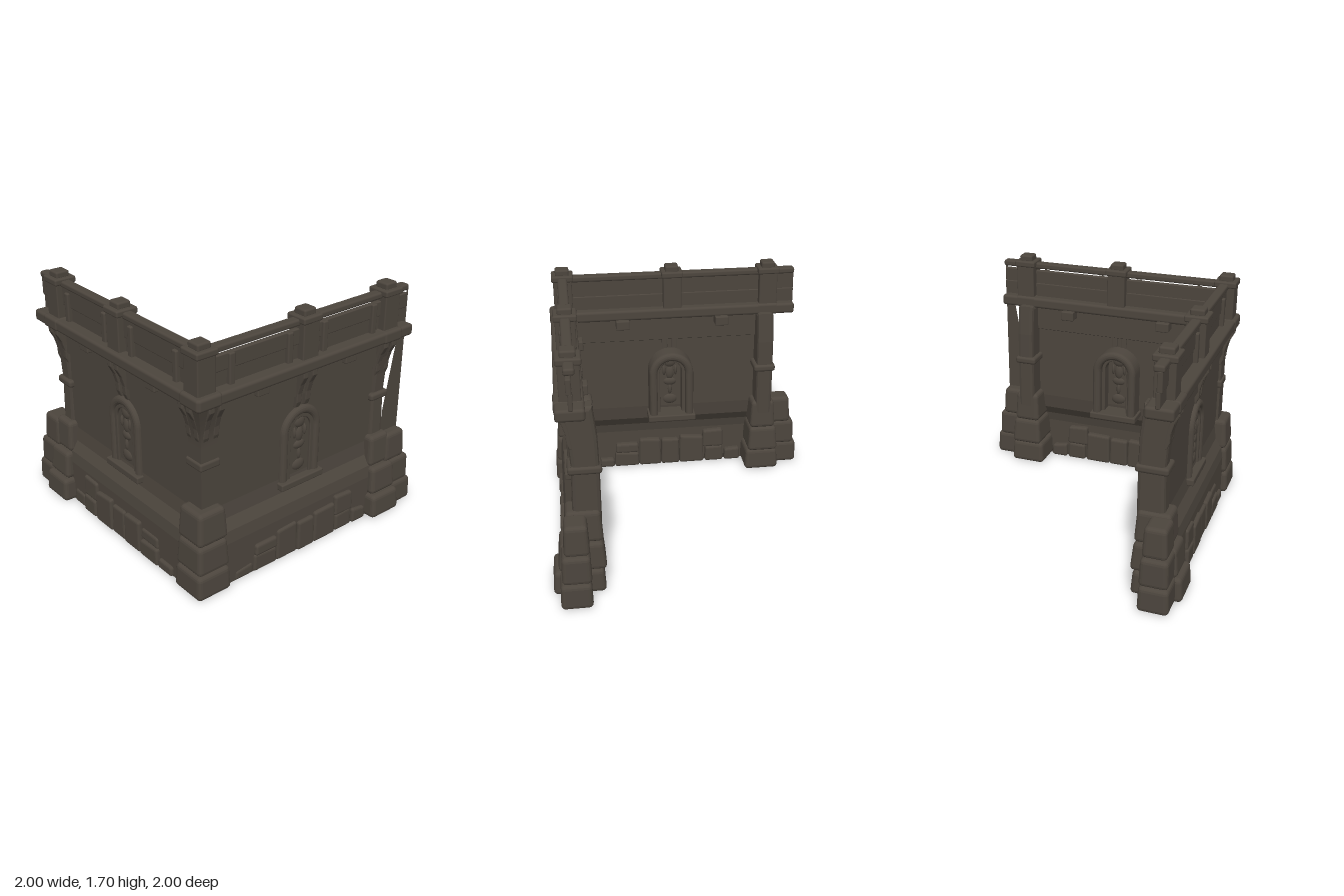
import * as THREE from 'three';
import { RoundedBoxGeometry } from 'three/addons/geometries/RoundedBoxGeometry.js';

// Each wall is laid out in (u along, y up, d outward); s flips u for the side wall.
export function createModel() {
  const model = new THREE.Group();
  model.name = 'cornerRampart';
  const stone = new THREE.MeshStandardMaterial({ color: 0x4c453d, side: THREE.DoubleSide });
  stone.name = 'dark stone';

  let seed = 7;
  const rand = () => ((seed = (seed * 16807) % 2147483647) / 2147483647) - 0.5;

  const add = (parent, name, geometry, x = 0, y = 0, z = 0) => {
    const mesh = new THREE.Mesh(geometry, stone);
    mesh.name = name;
    mesh.position.set(x, y, z);
    parent.add(mesh);
    return mesh;
  };

  // Move vertices by a rule
  const bend = (geometry, rule) => {
    const p = geometry.attributes.position;
    const v = new THREE.Vector3();
    for (let i = 0; i < p.count; i++) {
      rule(v.fromBufferAttribute(p, i));
      p.setXYZ(i, v.x, v.y, v.z);
    }
    geometry.computeVertexNormals();
    return geometry;
  };

  // Rounded block given by its ranges; taper narrows the top, skew tilts it
  const block = (parent, name, u0, u1, y0, y1, d0, d1, r = 0.012, taper = 0, skew = 0) => {
    const h = y1 - y0;
    const g = new RoundedBoxGeometry(u1 - u0, h, d1 - d0, 2, r);
    if (taper || skew) bend(g, (v) => {
      const t = v.y / h + 0.5;
      v.y += (v.x / (u1 - u0)) * skew * t;
      v.x *= 1 - taper * t;
      v.z *= 1 - taper * t;
    });
    return add(parent, name, g, (u0 + u1) / 2, (y0 + y1) / 2, (d0 + d1) / 2);
  };

  // Extrude a (d, y) profile along u, with edges rounded by r
  const alongU = (parent, name, points, u0, u1, r = 0) => {
    const shape = new THREE.Shape(points.map(([d, y]) => new THREE.Vector2(-d, y)));
    const g = new THREE.ExtrudeGeometry(shape, {
      depth: u1 - u0 - 2 * r, bevelEnabled: r > 0, bevelThickness: r, bevelSize: r, bevelOffset: -r, bevelSegments: 2,
    });
    g.rotateY(Math.PI / 2);
    return add(parent, name, g, u0 + r);
  };

  // Horseshoe band, open at the bottom, with rounded edges r
  const horseshoe = (outer, inner, y0, spring, depth, r) => {
    const s = new THREE.Shape();
    s.moveTo(outer, y0).lineTo(outer, spring);
    s.absarc(0, spring, outer, 0, Math.PI, false);
    s.lineTo(-outer, y0).lineTo(-inner, y0).lineTo(-inner, spring);
    s.absarc(0, spring, inner, Math.PI, 0, true);
    s.lineTo(inner, y0);
    return new THREE.ExtrudeGeometry(s, {
      depth: depth - 2 * r, bevelThickness: r, bevelSize: r, bevelOffset: -r, bevelSegments: 4, curveSegments: 16,
    }).translate(0, 0, r);
  };

  function buildWall(name, s) {
    const wall = new THREE.Group();
    wall.name = name;
    const span = (a, b) => (s > 0 ? [a, b] : [-b, -a]);
    const box = (n, a, b, ...rest) => block(wall, n, ...span(a, b), ...rest);
    const end = s > 0 ? 0.91 : 0.925;

    // Thin wall skin with a flared foot and a thicker top band
    alongU(wall, 'wallSkin', [
      [0.91, 0], [0.905, 0.3], [0.89, 0.38], [0.845, 0.45], [0.83, 0.55], [0.83, 1.12], [0.85, 1.125], [0.85, 1.31],
      [0.79, 1.31], [0.79, 1.12], [0.81, 1.11], [0.81, 0.55], [0.825, 0.44], [0.87, 0.37], [0.885, 0.3], [0.885, 0],
    ], ...span(-0.83, 0.73));

    // Foot stones
    const stones = [
      [-0.63, -0.48, 0, 0.07], [-0.48, -0.28, 0, 0.12], [-0.47, -0.28, 0.12, 0.2], [-0.28, -0.1, 0, 0.23],
      [-0.1, 0.05, 0, 0.22], [0.05, 0.25, 0, 0.235], [0.24, 0.41, 0.13, 0.28], [0.26, 0.41, 0, 0.13], [0.42, 0.55, 0, 0.1],
    ];
    for (const [a, b, y0, y1] of stones)
      box('footStone', a, b, y0, y1, 0.84, 0.93 + rand() * 0.02, 0.018, 0.06, rand() * 0.04);

    // Stepped boulders around the pilaster and beyond it at the free end
    box('pierStone', 0.56, 0.83, 0, 0.17, 0.65, 1.0, 0.03, 0.07);
    box('pierStone', 0.58, 0.82, 0.17, 0.37, 0.64, 0.96, 0.03, 0.12);
    box('pierStone', 0.595, 0.795, 0.37, 0.595, 0.655, 0.91, 0.03, 0.12);
    box('endStone', 0.77, 1.0, 0, 0.18, 0.745, 0.955, 0.03, 0.05);
    box('endStone', 0.76, 0.975, 0.17, 0.37, 0.745, 0.94, 0.03, 0.06);
    box('endStone', 0.74, 0.94, 0.36, 0.575, 0.75, 0.92, 0.03, 0.12);

    // Pilaster that curves outward under the walkway
    alongU(wall, 'pilaster', [
      [0.85, 0.5], [0.84, 0.9], [0.85, 1.05], [0.87, 1.18], [0.91, 1.32],
      [0.69, 1.32], [0.665, 1.1], [0.66, 0.9], [0.66, 0.5],
    ], ...span(0.635, 0.76), 0.025);
    box('pilasterCollar', 0.61, 0.775, 0.86, 0.915, 0.645, 0.865, 0.02);

    // Paired curved brackets
    for (const c of [-0.775, -0.03, 0.7])
      for (const k of [-0.038, 0.038])
        alongU(wall, 'bracket', [
          [0.8, 1.04], [0.842, 1.04], [0.858, 1.08], [0.862, 1.14], [0.882, 1.21], [0.915, 1.27], [0.915, 1.31], [0.8, 1.31],
        ], ...span(c + k - 0.021, c + k + 0.021), 0.006);

    // Joist ends
    for (const c of [-0.39, 0.36]) box('joistEnd', c - 0.05, c + 0.05, 1.24, 1.31, 0.7, 0.885, 0.008);

    // Niche: sill, rounded arch frame, inner moulding and carved relief
    const niche = new THREE.Group();
    niche.name = 'niche';
    niche.position.x = -0.03 * s;
    wall.add(niche);
    block(niche, 'sill', -0.185, 0.185, 0.48, 0.53, 0.65, 0.885, 0.01);
    add(niche, 'archFrame', horseshoe(0.17, 0.108, 0.5, 0.87, 0.195, 0.028), 0, 0, 0.665);
    add(niche, 'innerFrame', horseshoe(0.118, 0.085, 0.5, 0.87, 0.12, 0.006), 0, 0, 0.725);
    const ball = new THREE.SphereGeometry(1, 14, 10);
    const reliefs = [
      [0, 0.92, 0.05, 0.045], [0, 0.83, 0.035, 0.06], [0, 0.755, 0.055, 0.035], [0, 0.69, 0.018, 0.05],
      [0, 0.605, 0.06, 0.045], [-0.045, 0.85, 0.014, 0.045], [0.045, 0.85, 0.014, 0.045],
    ];
    for (const [x, y, w, h] of reliefs) add(niche, 'relief', ball, x, y, 0.82).scale.set(w, h, 0.025);

    // Walkway beam with overlapping timbers
    box('walkwayBeam', -0.92, end, 1.3, 1.38, 0.735, 0.92, 0.02);
    for (const [a, b] of [[-0.92, -0.74], [0.63, 0.8]]) box('beamSleeve', a, b, 1.298, 1.384, 0.735, 0.926, 0.02);

    // Parapet planks, outer battens and rail
    box('lowerPlank', -0.83, end, 1.37, 1.482, 0.805, 0.835, 0.008);
    box('upperPlank', -0.83, end, 1.474, s > 0 ? 1.58 : 1.61, 0.81, 0.845, 0.008);
    for (const c of [-0.62, -0.16, 0.135, 0.58]) box('batten', c - 0.022, c + 0.022, 1.37, 1.58, 0.82, 0.865, 0.01);
    box('topRail', -0.88, end, 1.6, 1.645, 0.785, 0.855, 0.015);

    // Posts with caps; the corner post is shared
    for (const c of s > 0 ? [-0.83, -0.01, 0.72] : [-0.01, 0.72]) {
      box('post', c - 0.068, c + 0.068, 1.36, 1.63, 0.752, 0.888, 0.008);
      box('postCap', c - 0.08, c + 0.08, 1.615, 1.66, 0.74, 0.9, 0.012);
      box('postKnob', c - 0.05, c + 0.05, 1.65, 1.7, 0.77, 0.87, 0.014);
    }
    model.add(wall);
    return wall;
  }

  const front = buildWall('frontWall', 1);
  buildWall('sideWall', -1).rotation.y = -Math.PI / 2;

  // Tall sliver of broken facing at the free end of the front wall
  const sliver = new THREE.Shape([[0.92, 0.35], [0.92, 1.63], [0.905, 1.6], [0.755, 0.74], [0.74, 0.5]]
    .map(([x, y]) => new THREE.Vector2(x, y)));
  add(front, 'brokenFacing', new THREE.ShapeGeometry(sliver), 0, 0, 0.84);

  // Corner tower: stacked stones, flared pillar and collar
  const corner = new THREE.Group();
  corner.name = 'corner';
  model.add(corner);
  const square = (name, lo, hi, y0, y1, r, taper) => block(corner, name, -hi, -lo, y0, y1, lo, hi, r, taper);
  square('cornerStone', 0.69, 0.955, 0, 0.17, 0.03, 0.06);
  square('cornerStone', 0.69, 0.94, 0.17, 0.37, 0.03, 0.1);
  square('cornerStone', 0.69, 0.925, 0.37, 0.595, 0.03, 0.13);
  square('cornerCollar', 0.705, 0.86, 0.86, 0.915, 0.015);
  const pillar = bend(new THREE.BoxGeometry(0.125, 0.8, 0.125, 1, 16, 1), (v) => {
    const t = Math.max(0, (v.y + 0.91 - 1.05) / 0.26);
    const flare = 0.06 * t ** 1.4;
    if (v.x < 0) v.x -= flare;
    if (v.z > 0) v.z += flare;
  });
  add(corner, 'cornerPillar', pillar, -0.785, 0.91, 0.785);

  return model;
}
